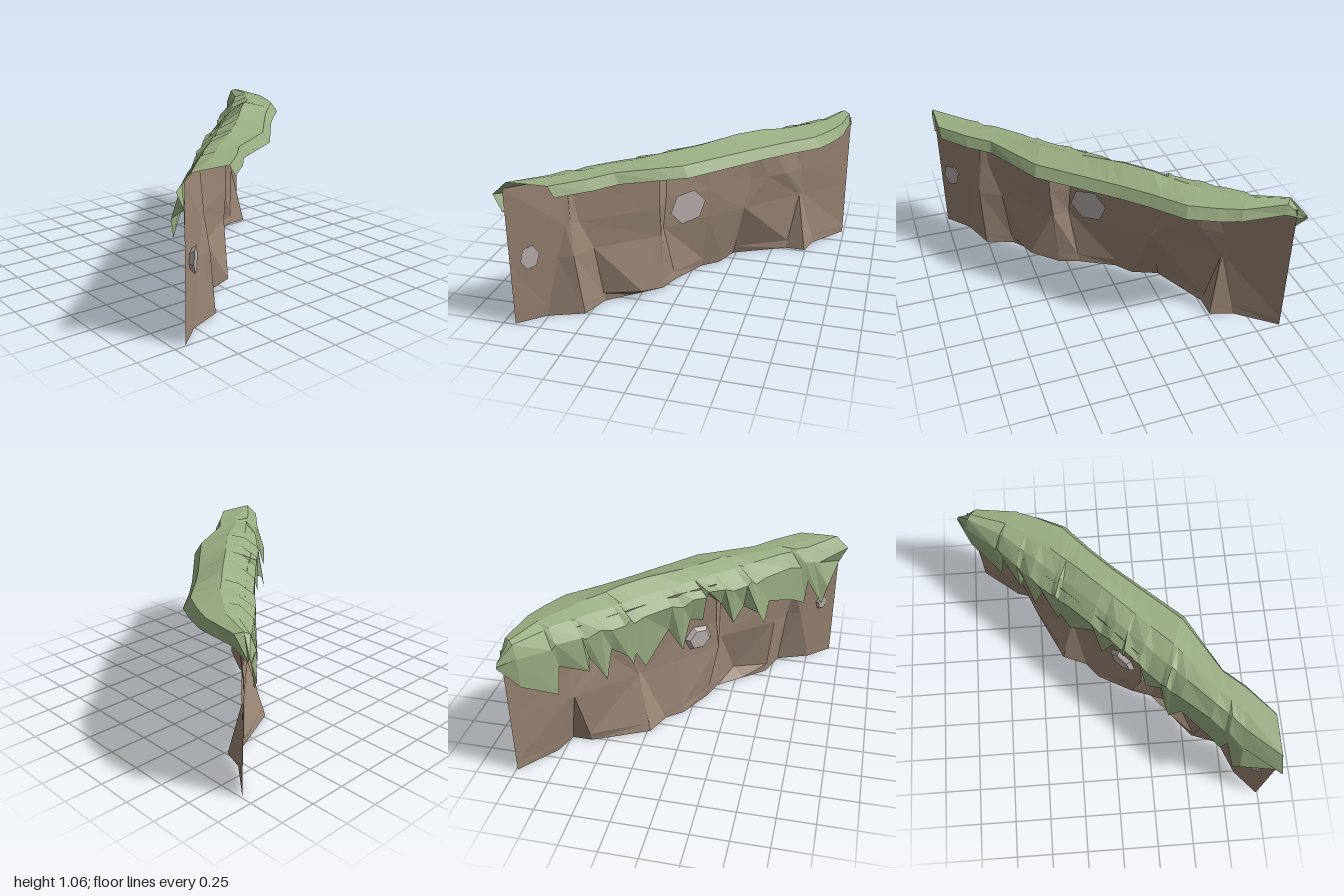
import * as THREE from 'three';

const material = (color) =>
  new THREE.MeshStandardMaterial({ color, flatShading: true, side: THREE.DoubleSide });

// Faceted sheet through rows of points [x, y, z], all rows equally long
function sheet(name, rows, color) {
  const n = rows[0].length, index = [];
  for (let r = 0; r < rows.length - 1; r++) {
    for (let c = 0; c < n - 1; c++) {
      const a = r * n + c, b = a + 1, d = a + n, e = d + 1;
      index.push(a, b, e, a, e, d);
    }
  }
  const indexed = new THREE.BufferGeometry();
  indexed.setAttribute('position', new THREE.Float32BufferAttribute(rows.flat(2), 3));
  indexed.setIndex(index);
  const geometry = indexed.toNonIndexed();
  geometry.computeVertexNormals();
  const mesh = new THREE.Mesh(geometry, material(color));
  mesh.name = name;
  return mesh;
}

// Piecewise linear lookup: table of [t, ...values]
function sample(table, t) {
  let i = 1;
  while (i < table.length - 1 && table[i][0] < t) i++;
  const a = table[i - 1], b = table[i];
  const k = THREE.MathUtils.clamp((t - a[0]) / (b[0] - a[0]), 0, 1);
  return a.slice(1).map((v, j) => v + (b[j + 1] - v) * k);
}

// Cliff face: each column holds [x, z] at ground, middle, upper and top height,
// and optionally at the foot just above the ground
function cliffWall() {
  const columns = [
    [[-0.92, -0.99], [-0.92, -0.99], [-0.92, -0.99], [-0.92, -0.99]],
    [[-0.67, -0.79], [-0.63, -0.70], [-0.60, -0.68], [-0.60, -0.67]],
    [[-0.52, -0.74], [-0.61, -0.68], [-0.48, -0.59], [-0.52, -0.58]],
    [[-0.52, -0.60], [-0.60, -0.67], [-0.47, -0.58], [-0.50, -0.56]],
    [[-0.34, -0.23], [-0.26, -0.32], [-0.38, -0.47], [-0.38, -0.45]],
    [[-0.17, -0.16], [-0.24, -0.31], [-0.30, -0.36], [-0.30, -0.37]],
    [[-0.08, -0.05], [-0.04, -0.10], [-0.04, -0.11], [-0.04, -0.11]],
    [[0.16, 0.08], [0.21, 0.15], [0.20, 0.13], [0.17, 0.13]],
    [[0.30, 0.13], [0.33, 0.13], [0.35, 0.13], [0.35, 0.13]],
    [[0.44, 0.30], [0.34, 0.14], [0.36, 0.14], [0.36, 0.14], [0.49, 0.22]],
    [[0.57, 0.46], [0.62, 0.50], [0.68, 0.57], [0.70, 0.61]],
    [[0.76, 0.53], [0.77, 0.58], [0.74, 0.60], [0.71, 0.62]],
    [[0.85, 0.76], [0.80, 0.68], [0.76, 0.63], [0.72, 0.62]],
    [[0.99, 0.92], [0.99, 0.92], [0.99, 0.92], [0.99, 0.92]],
  ];
  const rows = [[], [], [], [], []];
  for (const [ground, middle, upper, top, foot] of columns) {
    const low = foot ?? ground.map((v, i) => v + (middle[i] - v) * 0.14);
    [[ground, 0], [low, 0.06], [middle, 0.42], [upper, 0.63], [top, 0.95]]
      .forEach(([[x, z], y], r) => rows[r].push([x, y, z]));
  }
  return sheet('cliffWall', rows, 0x9b8776);
}

// Grass cap: rolls from the back edge over the top and down to a jagged fringe
function grassCap() {
  const fringeZ = [
    [-1, -0.99], [-0.9, -0.83], [-0.74, -0.71], [-0.6, -0.54], [-0.45, -0.39],
    [-0.25, -0.24], [0, 0.02], [0.3, 0.35], [0.34, 0.45], [0.5, 0.59],
    [0.66, 0.67], [0.72, 0.81], [0.78, 0.88], [1, 0.99],
  ];
  const browZ = [
    [-1, -0.99], [-0.9, -0.84], [-0.74, -0.73], [-0.45, -0.41], [-0.25, -0.24],
    [0, 0.02], [0.3, 0.34], [0.66, 0.65], [0.8, 0.82], [1, 0.99],
  ];
  const backEdge = [
    [-1, -0.97, -0.99], [-0.8, -0.6, -0.99], [-0.7, -0.52, -0.95], [-0.6, -0.42, -0.92],
    [-0.46, -0.25, -0.84], [-0.2, -0.02, -0.58], [0.3, 0.5, -0.11], [0.6, 0.71, 0.28],
    [0.8, 0.86, 0.41], [1, 1, 0.58],
  ];
  const crownY = [
    [-1, 0.9], [-0.93, 1.01], [-0.6, 1.02], [-0.36, 1.04], [-0.2, 1.07],
    [0.1, 1.035], [0.3, 1.035], [0.5, 1.01], [1, 1.0],
  ];
  // Fringe outline as [x, y]
  const fringe = [
    [-1, 0.87], [-0.93, 0.70], [-0.74, 0.53], [-0.72, 0.73], [-0.60, 0.64], [-0.58, 0.73],
    [-0.51, 0.53], [-0.46, 0.73], [-0.38, 0.64], [-0.35, 0.56], [-0.33, 0.64], [-0.27, 0.50],
    [-0.12, 0.71], [-0.06, 0.53], [0, 0.73], [0.07, 0.70], [0.08, 0.92], [0.17, 0.79],
    [0.22, 0.62], [0.30, 0.71], [0.33, 0.66], [0.36, 0.56], [0.42, 0.71], [0.60, 0.64],
    [0.68, 0.58], [0.70, 0.75], [0.75, 0.55], [0.78, 0.68], [1, 0.80],
  ];
  const rows = [[], [], [], [], [], []];
  fringe.forEach(([x, y], i) => {
    const [bx, bz] = sample(backEdge, x), [top] = sample(crownY, x);
    // Point a fraction k of the way from a front line to the back edge
    const across = (line, k, h) => {
      const [z] = sample(line, x);
      return [x + (bx - x) * k, h, z + (bz - z) * k];
    };
    const wobble = 0.02 * Math.sin(i * 2.3);
    const edge = Math.min(1, (x + 1) / 0.07);
    rows[0].push(across(browZ, 1, 0.87 + 0.06 * edge));
    rows[1].push(across(browZ, 0.9, 0.88 + 0.12 * edge));
    rows[2].push(across(browZ, 0.5, top));
    rows[3].push(across(browZ, 0.25, 0.88 + (0.11 + wobble * 0.4) * edge));
    rows[4].push(across(browZ, 0.02, Math.max(y + 0.01, 0.87 + (0.02 + wobble) * edge)));
    // Valleys tuck back toward the wall, tips stand forward
    rows[5].push(across(fringeZ, x === 1 ? 0.15 : y > 0.68 && x > -0.9 ? 0.1 : 0.03, y));
  });
  return sheet('grassCap', rows, 0x9aad82);
}

// Six-sided bevelled stone set in the wall, its narrow end facing out of the cliff
function stone(name, position, scale) {
  const geometry = new THREE.CylinderGeometry(0.6, 1, 1, 6);
  geometry.rotateX(Math.PI / 2);
  geometry.rotateZ(0.35);
  geometry.scale(...scale);
  const mesh = new THREE.Mesh(geometry, material(0xbab2b0));
  mesh.name = name;
  mesh.position.set(...position);
  mesh.rotation.y = -Math.PI / 4;
  return mesh;
}

export function createModel() {
  const group = new THREE.Group();
  group.name = 'grassyCliff';
  group.add(
    cliffWall(),
    grassCap(),
    stone('largeStone', [0.09, 0.55, 0.02], [0.14, 0.125, 0.06]),
    stone('smallStone', [0.92, 0.47, 0.82], [0.065, 0.085, 0.04]),
  );
  return group;
}
